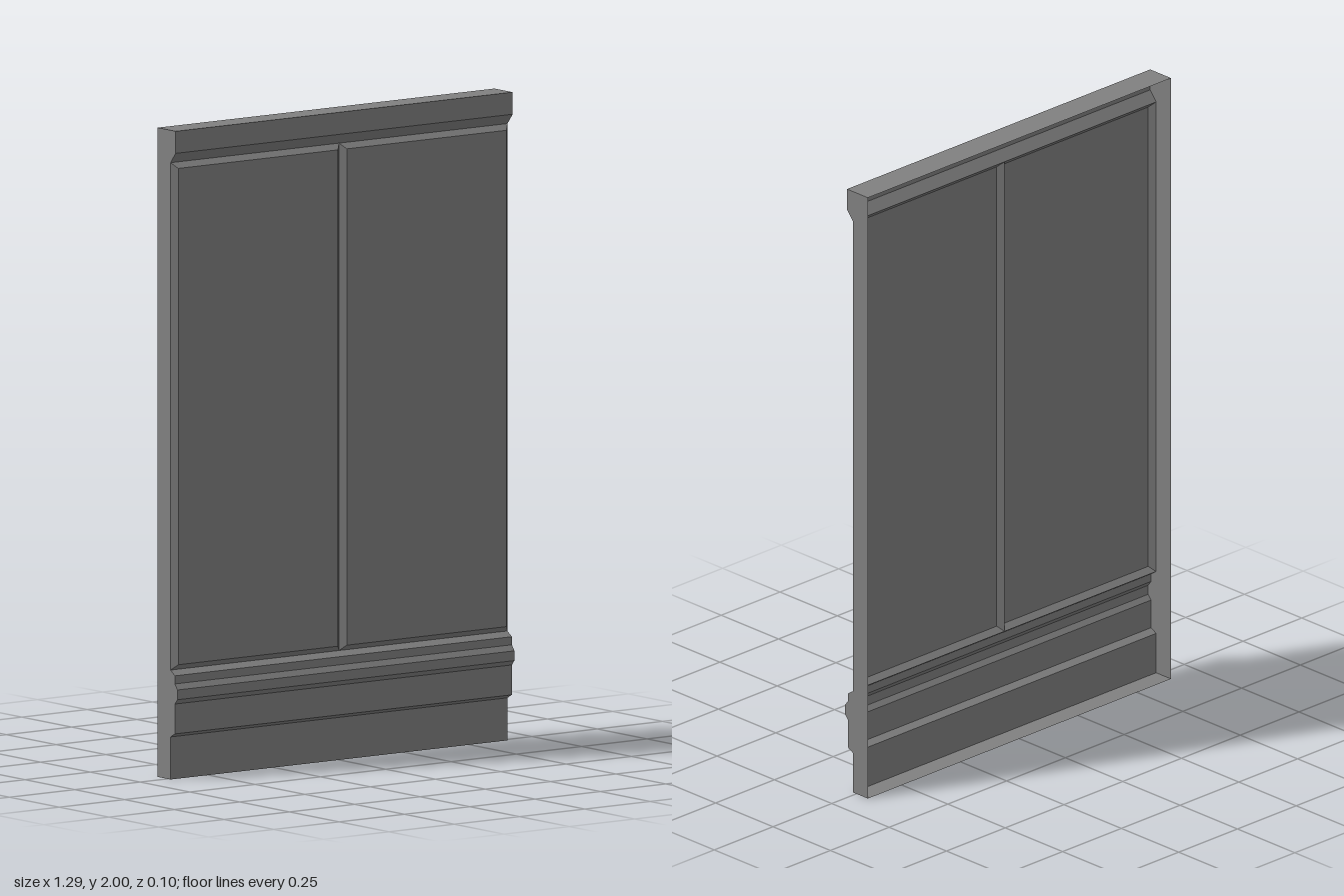
import * as THREE from 'three';

const W = 0.645, BACK = -0.05, GROOVE = 0.015, FACE = 0.032, BEVEL = 0.017;
const PANEL_Y0 = 0.337, PANEL_Y1 = 1.9;

// Moulding profiles as [z, y], bottom to top
const plinth = [[GROOVE, 0], [GROOVE, 0.131]];
const skirting = [[GROOVE, 0.131], [0.037, 0.143], [0.037, 0.235]];
const rail = [[0.037, 0.235], [0.05, 0.25], [0.05, 0.28], [0.037, 0.297], [0.037, 0.322], [GROOVE, PANEL_Y0]];
const cornice = [[GROOVE, PANEL_Y1], [0.041, 1.932], [0.041, 2]];

// Flat-shaded quads, corners counter-clockwise seen from outside
function quads(list) {
  const pos = [];
  for (const [a, b, c, d] of list) pos.push(...a, ...b, ...c, ...a, ...c, ...d);
  const g = new THREE.BufferGeometry();
  g.setAttribute('position', new THREE.Float32BufferAttribute(pos, 3));
  g.computeVertexNormals();
  return g;
}

// Open strip sweeping a profile across the full width
function strip(profile) {
  const list = [];
  for (let i = 0; i + 1 < profile.length; i++) {
    const [z0, y0] = profile[i], [z1, y1] = profile[i + 1];
    list.push([[-W, y0, z0], [W, y0, z0], [W, y1, z1], [-W, y1, z1]]);
  }
  return quads(list);
}

// Raised panel: face plus four bevels
function raisedPanel(x0, x1) {
  const rect = (i, z) => [
    [x0 + i, PANEL_Y0 + i, z], [x1 - i, PANEL_Y0 + i, z],
    [x1 - i, PANEL_Y1 - i, z], [x0 + i, PANEL_Y1 - i, z],
  ];
  const o = rect(0, GROOVE), f = rect(BEVEL, FACE);
  const list = [f];
  for (let i = 0; i < 4; i++) {
    const j = (i + 1) % 4;
    list.push([o[i], o[j], f[j], f[i]]);
  }
  return quads(list);
}

export function createModel() {
  const group = new THREE.Group();
  const grey = new THREE.MeshStandardMaterial({ color: 0x808080, side: THREE.DoubleSide });
  grey.name = 'grey';
  const add = (name, geometry) => {
    const mesh = new THREE.Mesh(geometry, grey);
    mesh.name = name;
    group.add(mesh);
    return mesh;
  };

  // Front skin
  add('plinth', strip(plinth));
  add('skirting', strip(skirting));
  add('dadoRail', strip(rail));
  add('cornice', strip(cornice));
  add('rightPanel', raisedPanel(-W, 0));
  add('leftPanel', raisedPanel(0, W));

  // Top and bottom edges; the back stays open
  add('topEdge', quads([[[-W, 2, 0.041], [W, 2, 0.041], [W, 2, BACK], [-W, 2, BACK]]]));
  add('bottomEdge', quads([[[-W, 0, BACK], [W, 0, BACK], [W, 0, GROOVE], [-W, 0, GROOVE]]]));

  // Side walls follow the moulding profile
  const outline = [[BACK, 0], ...plinth, ...skirting.slice(1), ...rail.slice(1), ...cornice, [BACK, 2]];
  for (const side of [1, -1]) {
    const shape = new THREE.Shape(outline.map(([z, y]) => new THREE.Vector2(-side * z, y)));
    const wall = add(side > 0 ? 'leftWall' : 'rightWall', new THREE.ShapeGeometry(shape));
    wall.rotation.y = side * Math.PI / 2;
    wall.position.x = side * W;
  }
  return group;
}
